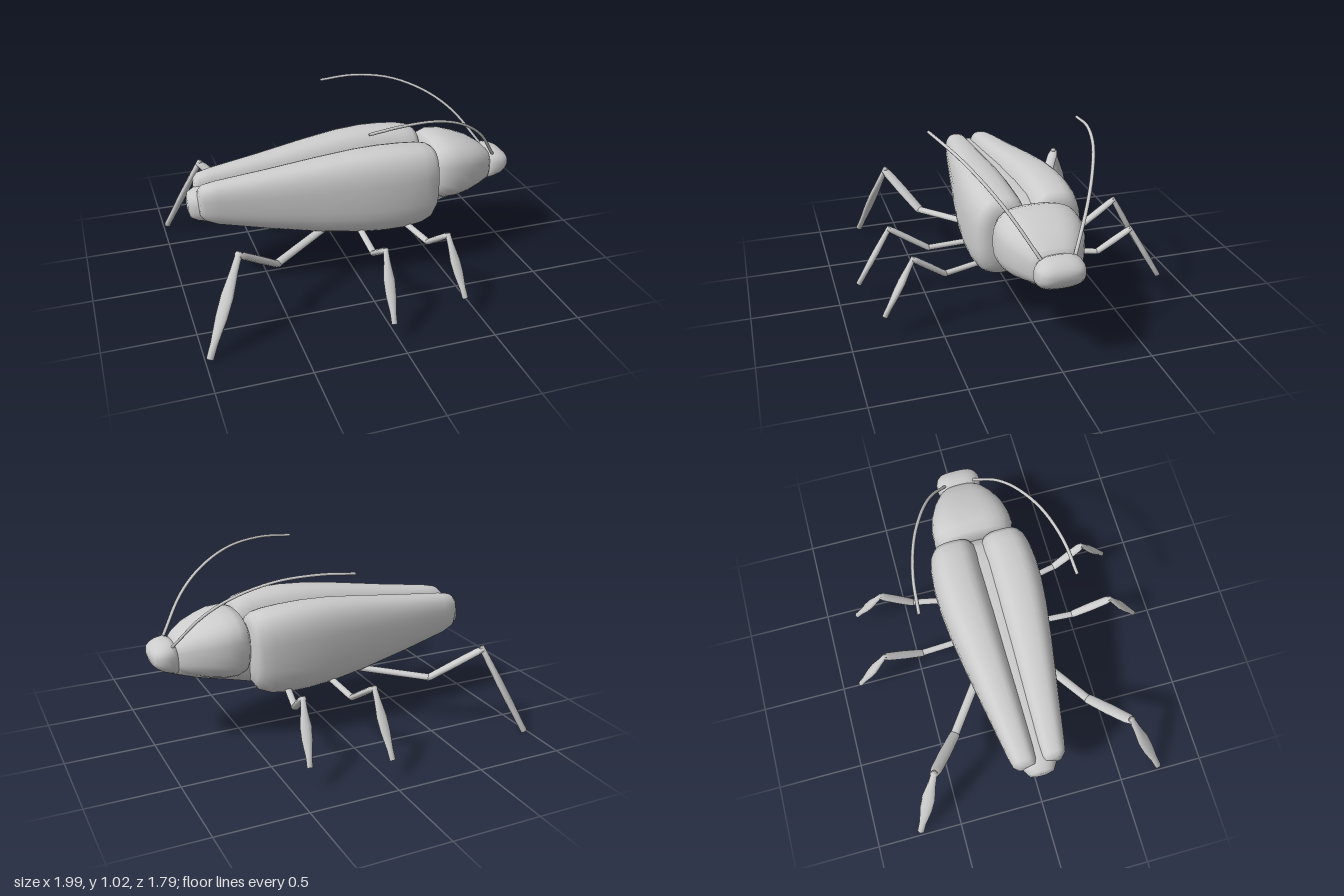
import * as THREE from 'three';

const material = new THREE.MeshStandardMaterial({ color: 0xcccccc, side: THREE.DoubleSide });

// Skin a list of rings (arrays of Vector3) into a smooth surface with closed ends
function skin(name, rings) {
  const n = rings[0].length;
  const centre = (r) => r.reduce((s, p) => s.add(p), new THREE.Vector3()).divideScalar(n);
  const points = rings.flat();
  const index = [];
  for (let i = 0; i < rings.length - 1; i++) {
    for (let j = 0; j < n; j++) {
      const a = i * n + j, b = i * n + (j + 1) % n;
      index.push(a, a + n, b, b, a + n, b + n);
    }
  }
  const first = points.push(centre(rings[0])) - 1;
  const last = points.push(centre(rings.at(-1))) - 1;
  const base = (rings.length - 1) * n;
  for (let j = 0; j < n; j++) {
    const k = (j + 1) % n;
    index.push(first, j, k, last, base + k, base + j);
  }
  const geometry = new THREE.BufferGeometry().setFromPoints(points);
  geometry.setIndex(index);
  geometry.computeVertexNormals();
  const mesh = new THREE.Mesh(geometry, material);
  mesh.name = name;
  return mesh;
}

// Body part from stations [x, bottom y, top y, inner z, outer z]; power > 2 squares the section
function bodyPart(name, stations, power = 2.4, side = 1, sides = 32) {
  const round = (v) => Math.sign(v) * Math.abs(v) ** (2 / power);
  return skin(name, stations.map(([x, y0, y1, z0, z1]) =>
    Array.from({ length: sides }, (_, j) => {
      const a = (j / sides) * Math.PI * 2;
      return new THREE.Vector3(x,
        (y0 + y1) / 2 + (y1 - y0) / 2 * round(Math.sin(a)),
        side * (z0 + z1) / 2 + (z1 - z0) / 2 * round(Math.cos(a)));
    })));
}

// Limb along a curve; profile rows are [t, half width, half thickness]
function limb(name, curve, profile, sides = 10) {
  const up = new THREE.Vector3(0, 1, 0);
  return skin(name, profile.map(([t, w, h]) => {
    const c = curve.getPoint(t), dir = curve.getTangent(t);
    const s = dir.clone().cross(up).normalize(), u = s.clone().cross(dir);
    return Array.from({ length: sides }, (_, j) => {
      const a = (j / sides) * Math.PI * 2;
      return c.clone().addScaledVector(s, w * Math.cos(a)).addScaledVector(u, h * Math.sin(a));
    });
  }));
}

const symmetric = (rows) => rows.map(([x, y0, y1, z]) => [x, y0, y1, -z, z]);

function leg(name, joints, side, k) {
  const group = new THREE.Group();
  group.name = name;
  const p = joints.map(([x, y, z]) => new THREE.Vector3(x, y, z * side));
  const profiles = [
    [[0, 0.02, 0.016], [1, 0.02, 0.016]],
    [[-0.04, 0.018, 0.014], [0.03, 0.024, 0.017], [0.5, 0.027, 0.018], [0.9, 0.025, 0.017], [1.02, 0.017, 0.014]],
    [[-0.03, 0.014, 0.014], [0.15, 0.018, 0.016], [0.4, 0.031, 0.018], [0.6, 0.029, 0.018],
      [0.85, 0.017, 0.016], [1, 0.016, 0.016]],
  ];
  ['upperLeg', 'middleLeg', 'lowerLeg'].forEach((part, i) => {
    const profile = profiles[i].map(([t, w, h]) => [t, w * k, h * (1 + (k - 1) / 2)]);
    group.add(limb(part, new THREE.LineCurve3(p[i], p[i + 1]), profile));
  });
  return group;
}

export function createModel() {
  const model = new THREE.Group();
  model.name = 'beetle';

  // Abdomen and belly
  model.add(bodyPart('abdomen', symmetric([
    [-0.93, 0.49, 0.56, 0.035], [-0.92, 0.45, 0.59, 0.07], [-0.88, 0.43, 0.61, 0.095], [-0.8, 0.415, 0.62, 0.12],
    [-0.5, 0.365, 0.65, 0.17], [-0.2, 0.31, 0.68, 0.22], [0.1, 0.285, 0.7, 0.25], [0.3, 0.285, 0.7, 0.24],
    [0.42, 0.31, 0.68, 0.2], [0.5, 0.35, 0.64, 0.14],
  ])));

  // Underside of the chest, reaching to the head
  model.add(bodyPart('chest', symmetric([
    [0.3, 0.29, 0.6, 0.15], [0.45, 0.315, 0.6, 0.17], [0.6, 0.355, 0.6, 0.16],
    [0.75, 0.39, 0.58, 0.14], [0.88, 0.43, 0.57, 0.1],
  ])));

  // Shield behind the head
  model.add(bodyPart('neckShield', symmetric([
    [0.475, 0.47, 0.65, 0.14], [0.48, 0.43, 0.7, 0.19], [0.5, 0.405, 0.735, 0.22], [0.55, 0.385, 0.75, 0.24],
    [0.62, 0.385, 0.745, 0.238], [0.7, 0.4, 0.72, 0.22], [0.78, 0.42, 0.69, 0.183], [0.85, 0.44, 0.645, 0.135],
    [0.885, 0.46, 0.61, 0.09],
  ]), 2.8));

  // Head
  model.add(bodyPart('head', symmetric([
    [0.84, 0.43, 0.59, 0.08], [0.87, 0.435, 0.62, 0.12], [0.9, 0.445, 0.632, 0.133], [0.94, 0.46, 0.622, 0.132],
    [0.97, 0.48, 0.608, 0.12], [0.99, 0.5, 0.59, 0.1], [1, 0.53, 0.57, 0.06],
  ]), 2.6));

  for (const side of [1, -1]) {
    const label = side > 0 ? 'left' : 'right';

    // Wing case
    model.add(bodyPart(label + 'WingCase', [
      [-0.88, 0.53, 0.59, 0.05, 0.09], [-0.875, 0.49, 0.635, 0.025, 0.125], [-0.85, 0.46, 0.66, 0.015, 0.15],
      [-0.78, 0.43, 0.675, 0.01, 0.165], [-0.5, 0.37, 0.71, 0.007, 0.213], [-0.2, 0.315, 0.752, 0.006, 0.265],
      [0, 0.288, 0.775, 0.005, 0.295], [0.15, 0.278, 0.782, 0.005, 0.31], [0.28, 0.277, 0.778, 0.005, 0.313],
      [0.38, 0.29, 0.768, 0.005, 0.305], [0.44, 0.315, 0.755, 0.01, 0.29], [0.47, 0.36, 0.735, 0.025, 0.27],
      [0.482, 0.43, 0.69, 0.06, 0.23],
    ], 2.7, side));

    // Antenna sweeping up and back
    const curve = new THREE.CatmullRomCurve3([
      [0.89, 0.61, 0.09], [0.75, 0.795, 0.2], [0.6, 0.91, 0.285], [0.4, 0.99, 0.367], [0.18, 1.013, 0.42],
      [-0.02, 0.998, 0.437],
    ].map(([x, y, z]) => new THREE.Vector3(x, y, z * side)));
    const taper = Array.from({ length: 25 }, (_, i) => [i / 24, 0.01, 0.008]);
    model.add(limb(label + 'Antenna', curve, taper, 8));

    // Three pairs of legs
    model.add(leg(label + 'FrontLeg', [[0.26, 0.32, 0.12], [0.335, 0.3, 0.45], [0.37, 0.435, 0.63], [0.41, 0.13, 0.805]], side, 1));
    model.add(leg(label + 'MiddleLeg', [[0.015, 0.32, 0.12], [0.003, 0.3, 0.47], [-0.012, 0.445, 0.69], [-0.027, 0.11, 0.88]], side, 1));
    model.add(leg(label + 'BackLeg', [[-0.18, 0.325, 0.15], [-0.53, 0.297, 0.405], [-0.765, 0.495, 0.575], [-0.975, 0.012, 0.74]], side, 1.3));
  }
  return model;
}
